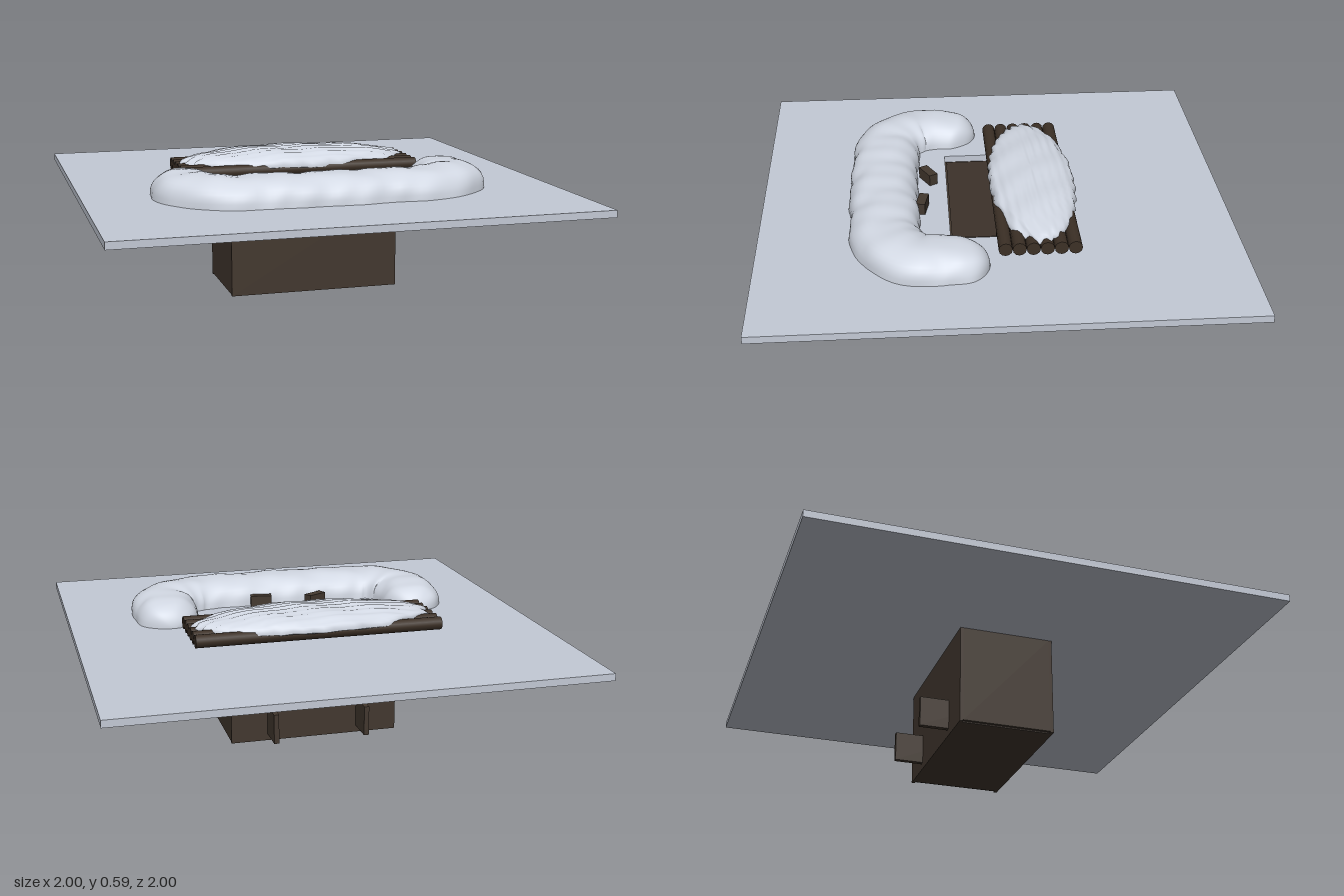
import * as THREE from 'three';
import { mergeVertices } from 'three/addons/utils/BufferGeometryUtils.js';

const mat = (name, color, side = THREE.FrontSide) => {
  const m = new THREE.MeshStandardMaterial({ color, side });
  m.name = name;
  return m;
};

export function createModel() {
  const group = new THREE.Group();
  const ground = mat('frozen ground', 0xc4cad6);
  const snow = mat('snow', 0xd2d8e3, THREE.DoubleSide);
  const wood = mat('plank wood', 0x43382f);
  const logWood = mat('log wood', 0x3c3026);

  const add = (name, geo, material, x = 0, y = 0, z = 0, ry = 0) => {
    const m = new THREE.Mesh(geo, material);
    m.name = name;
    m.position.set(x, y, z);
    m.rotation.y = ry;
    group.add(m);
    return m;
  };
  const box = (name, w, h, d, x, y, z, ry = 0, material = wood) =>
    add(name, new THREE.BoxGeometry(w, h, d), material, x, y, z, ry);

  // Ground slab with the trench opening
  const slab = new THREE.Shape([[-1, -1], [1, -1], [1, 1], [-1, 1]].map(p => new THREE.Vector2(...p)));
  slab.holes.push(new THREE.Path([[-0.36, -0.2], [-0.36, 0.2], [0.36, 0.2], [0.36, -0.2]].map(p => new THREE.Vector2(...p))));
  const slabGeo = new THREE.ExtrudeGeometry(slab, { depth: 0.03, bevelEnabled: false });
  slabGeo.rotateX(-Math.PI / 2);
  add('groundSlab', slabGeo, ground, 0, 0.43, 0);

  // Plank-lined pit
  for (const s of [-1, 1]) {
    box('pitLongWall', 0.74, 0.43, 0.014, 0, 0.215, s * 0.198);
    box('pitEndWall', 0.014, 0.425, 0.382, s * 0.363, 0.2175, 0);
  }
  box('pitFloor', 0.712, 0.012, 0.382, 0, 0.006, 0);
  for (let i = 0; i < 12; i++) {
    box('floorPlank', 0.054, 0.008 + (i % 3) * 0.002, 0.37, -0.325 + i * 0.059, 0.016, 0);
  }

  // Bench at the back, its side boards reaching through the wall
  box('benchSeat', 0.5, 0.018, 0.15, 0, 0.169, -0.11);
  for (const s of [-1, 1]) box('benchBoard', 0.022, 0.13, 0.3, s * 0.2, 0.095, -0.18);

  // Loose boards and a low crate on the pit floor
  box('looseBoard', 0.05, 0.025, 0.17, -0.205, 0.035, 0.1, -0.14);
  box('crate', 0.17, 0.08, 0.08, 0.19, 0.06, 0.09);
  box('crateLid', 0.22, 0.02, 0.08, 0.17, 0.11, 0.08, -0.12);

  // Log roof
  for (let i = 0; i < 6; i++) {
    const g = new THREE.CylinderGeometry(0.0285, 0.0285, 1.07, 12);
    g.rotateZ(Math.PI / 2);
    add('roofLog', g, logWood, 0, 0.503, -0.015 - i * 0.057);
  }

  // Snow heap on the roof: a flattened, streaky dome
  let heap = new THREE.SphereGeometry(1, 72, 36);
  heap.deleteAttribute('uv');
  heap.deleteAttribute('normal');
  heap = mergeVertices(heap);
  const hp = heap.attributes.position;
  for (let i = 0; i < hp.count; i++) {
    const x = hp.getX(i), y = hp.getY(i), z = hp.getZ(i);
    const streak = Math.sin(9 * x + 13 * z) * Math.sin(17 * z - 4 * x + 1);
    const edge = 1 + 0.03 * Math.sin(31 * x + 23 * z) * (1 - Math.abs(y));
    const lift = y > 0 ? Math.pow(y, 0.8) * (0.072 + 0.005 * streak) : y * 0.012;
    hp.setXYZ(i, x * 0.515 * edge, lift + 0.004 * streak * (1 - Math.abs(y)), z * 0.185 * edge);
  }
  heap.computeVertexNormals();
  add('roofSnow', heap, snow, 0, 0.515, -0.168);

  // U-shaped snow bank: a half-oval section swept along a curve
  const half = [[-0.565, 0.05], [-0.57, 0.2], [-0.555, 0.35], [-0.44, 0.45], [-0.22, 0.472]];
  const pts = [...half, [0, 0.478], ...half.slice().reverse().map(([x, z]) => [-x, z])];
  const curve = new THREE.CatmullRomCurve3(pts.map(([x, z]) => new THREE.Vector3(x, 0, z)));
  const length = curve.getLength();
  const NU = 120, NV = 20, pos = [], idx = [];
  const up = new THREE.Vector3(0, 1, 0);
  for (let i = 0; i <= NU; i++) {
    // stations crowd towards both ends to round them off
    const u = 0.5 - 0.5 * Math.cos(Math.PI * i / NU);
    const p = curve.getPointAt(u);
    const side = up.clone().cross(curve.getTangentAt(u));
    const d = Math.min(u, 1 - u) * length;
    const round = r => Math.sqrt(Math.max(0, 1 - (1 - Math.min(d / r, 1)) ** 2));
    const width = (0.128 + 0.02 * Math.min(d / 0.3, 1)) * round(0.13);
    const height = 0.114 * (0.55 * round(0.08) + 0.45 * round(0.32));
    for (let j = 0; j <= NV; j++) {
      const a = Math.PI * j / NV, c = Math.cos(a), s = Math.sin(a);
      const lump = 1 + 0.05 * Math.abs(Math.sin(u * 22 + c)) - 0.03
        + 0.025 * Math.sin(u * 61 + 3 * c) * Math.sin(4 * a + u * 30);
      const off = Math.sign(c) * Math.abs(c) ** 0.85 * width * lump;
      pos.push(p.x + side.x * off, Math.max(0, s) ** 0.85 * height * lump, p.z + side.z * off);
      if (i < NU && j < NV) {
        const k = i * (NV + 1) + j, n = k + NV + 1;
        idx.push(k, k + 1, n, k + 1, n + 1, n);
      }
    }
  }
  const bank = new THREE.BufferGeometry();
  bank.setAttribute('position', new THREE.Float32BufferAttribute(pos, 3));
  bank.setIndex(idx);
  bank.computeVertexNormals();
  add('snowBank', bank, snow, 0, 0.459, 0);

  // Small boxes left on the bank's inner edge
  box('ammoBox', 0.095, 0.05, 0.04, -0.135, 0.487, 0.28, 0.5);
  box('ammoBox', 0.095, 0.05, 0.04, 0.115, 0.487, 0.312, -0.2);

  return group;
}
